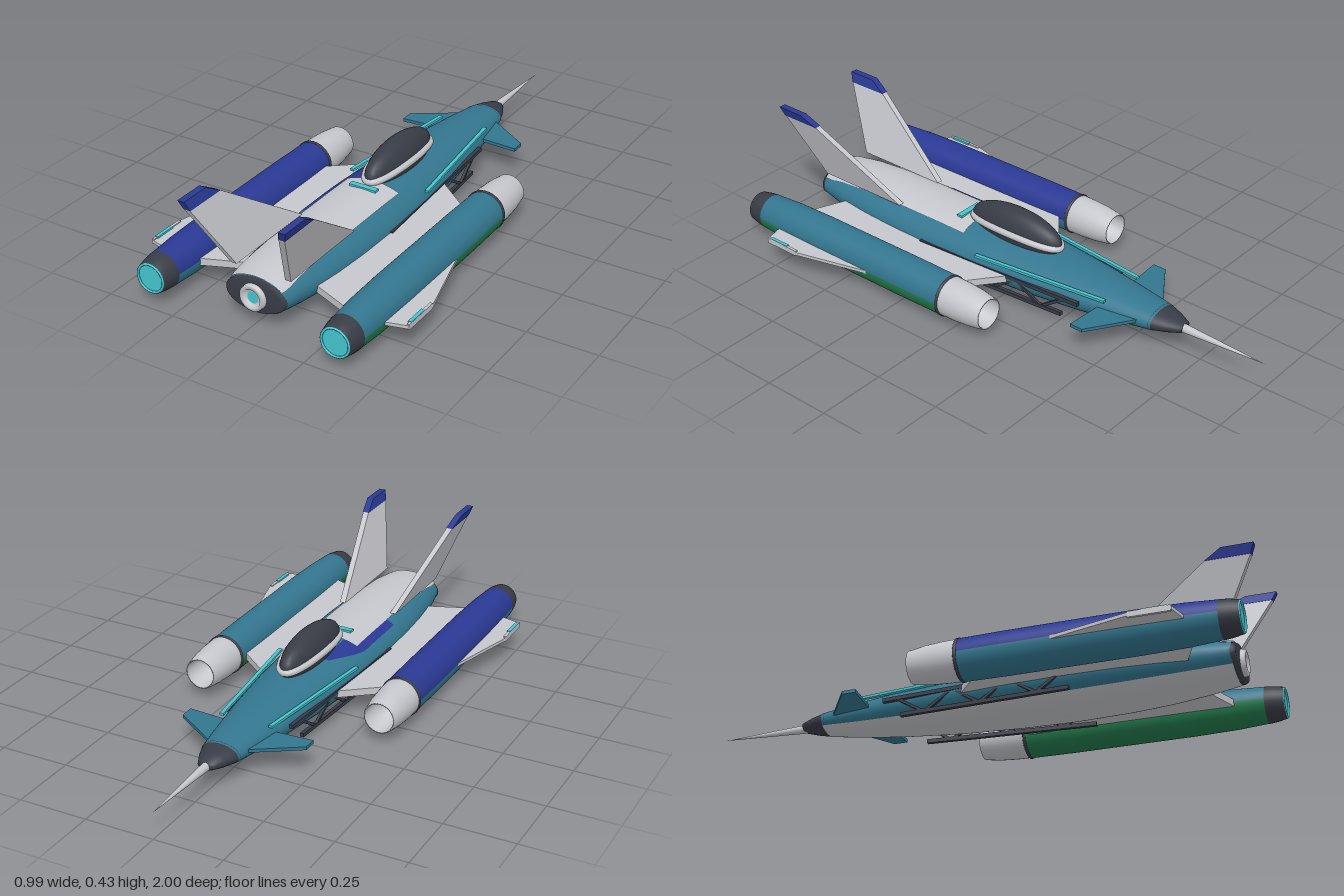
import * as THREE from 'three';

const mat = (name, color, side = THREE.FrontSide) => {
  const m = new THREE.MeshStandardMaterial({ color, side });
  m.name = name;
  return m;
};
const teal = mat('teal paint', 0x33768f, THREE.DoubleSide);
const blue = mat('blue paint', 0x2a3994, THREE.DoubleSide);
const green = mat('green paint', 0x237a4c, THREE.DoubleSide);
const white = mat('pale grey', 0xc6c7cc, THREE.DoubleSide);
const dark = mat('dark grey', 0x383c46, THREE.DoubleSide);
const glow = mat('turquoise', 0x45c5cf);

function add(parent, name, geometry, material, x = 0, y = 0, z = 0) {
  const mesh = new THREE.Mesh(geometry, material);
  mesh.name = name;
  mesh.position.set(x, y, z);
  parent.add(mesh);
  return mesh;
}

// Hull stations: z, half width, top y, bottom y
const stations = [
  [-0.59, 0.069, 0.134, 0.06], [-0.45, 0.093, 0.15, 0.04], [-0.3, 0.116, 0.163, 0.024],
  [-0.1, 0.14, 0.174, 0.01], [0.1, 0.156, 0.18, 0.003], [0.3, 0.163, 0.182, 0],
  [0.5, 0.16, 0.182, 0.004], [0.65, 0.15, 0.18, 0.012], [0.8, 0.13, 0.174, 0.027], [0.885, 0.113, 0.163, 0.04],
];
function hullAt(z) {
  let i = 0;
  while (i < stations.length - 2 && z > stations[i + 1][0]) i++;
  const a = stations[i], b = stations[i + 1], t = (z - a[0]) / (b[0] - a[0]);
  return a.map((v, k) => v + (b[k] - v) * t);
}

// Skin over part of the hull, between two angles that may vary with z
function skin(z0, z1, angles, offset = 0, nz = 30, na = 28) {
  const pos = [], index = [];
  for (let i = 0; i <= nz; i++) {
    const z = z0 + (z1 - z0) * i / nz;
    const [, w, top, bottom] = hullAt(z);
    const [a0, a1] = angles(z, w);
    for (let j = 0; j <= na; j++) {
      const a = a0 + (a1 - a0) * j / na;
      pos.push((w + offset) * Math.cos(a), (top + bottom) / 2 + ((top - bottom) / 2 + offset) * Math.sin(a), z);
      if (i < nz && j < na) {
        const p = i * (na + 1) + j, q = p + na + 1;
        index.push(p, p + 1, q, p + 1, q + 1, q);
      }
    }
  }
  const g = new THREE.BufferGeometry();
  g.setAttribute('position', new THREE.Float32BufferAttribute(pos, 3));
  g.setIndex(index);
  g.computeVertexNormals();
  return g;
}

// Lathe along z from [radius, z] points; phi 0 points down
function turned(points, phi = 0, sweep = Math.PI * 2) {
  const pts = points.map(([r, z]) => new THREE.Vector2(r, z));
  return new THREE.LatheGeometry(pts, 32, phi, sweep).rotateX(Math.PI / 2);
}

const outline = (pts) => new THREE.Shape(pts.map(([x, y]) => new THREE.Vector2(x, y)));

// Flat plate from [x, z] corners, centred on height 0
function plate(pts, side, thick) {
  const shape = outline(pts.map(([x, z]) => [x * side, z]));
  return new THREE.ExtrudeGeometry(shape, { depth: thick, bevelEnabled: false })
    .rotateX(Math.PI / 2).translate(0, thick / 2, 0);
}

// Leaning upright plate from [z, y] corners
function fin(pts, side, thick) {
  const lean = new THREE.Matrix4().set(1, side * 0.31, 0, side * (0.105 - 0.31 * 0.175), 0, 1, 0, 0, 0, 0, 1, 0, 0, 0, 0, 1);
  return new THREE.ExtrudeGeometry(outline(pts), { depth: thick, bevelEnabled: false })
    .rotateY(-Math.PI / 2).translate(thick / 2, 0, 0).applyMatrix4(lean);
}

// Straight bar between two points
function bar(parent, name, a, b, w, h, material) {
  const p = new THREE.Vector3(...a), q = new THREE.Vector3(...b);
  const mesh = add(parent, name, new THREE.BoxGeometry(w, h, p.distanceTo(q)), material);
  mesh.position.copy(p).lerp(q, 0.5);
  mesh.lookAt(q);
}

function engine(side) {
  const g = new THREE.Group();
  g.name = side > 0 ? 'leftEngine' : 'rightEngine';
  g.position.set(side * 0.35, 0.094, 0);
  const body = [[0.072, 0.04], [0.074, 0.2], [0.074, 0.65], [0.071, 0.8], [0.064, 0.915]];
  add(g, 'engineUpperShell', turned(body, Math.PI / 2, Math.PI), side > 0 ? teal : blue);
  add(g, 'engineLowerShell', turned(body, -Math.PI / 2, Math.PI), side > 0 ? green : teal);
  add(g, 'engineIntake', turned([[0, 0.02], [0.048, -0.06], [0.052, -0.13], [0.057, -0.13], [0.066, -0.07], [0.07, -0.01], [0.071, 0.04]]), white);
  add(g, 'engineBand', turned([[0.071, 0.038], [0.0745, 0.04], [0.0745, 0.048], [0.072, 0.05]]), dark);
  add(g, 'engineNozzle', turned([[0.065, 0.91], [0.062, 0.94], [0.055, 0.975], [0.05, 0.975], [0.048, 0.95]]), dark);
  add(g, 'exhaustRing', new THREE.TorusGeometry(0.05, 0.004, 8, 32), glow, 0, 0, 0.975);
  add(g, 'exhaustGlow', new THREE.CircleGeometry(0.049, 32), glow, 0, 0, 0.972);
  return g;
}

export function createModel() {
  const model = new THREE.Group();
  model.name = 'spaceFighter';
  const D = Math.PI / 180;

  // Hull, belly and painted panels
  add(model, 'hull', skin(-0.59, 0.885, () => [-38 * D, 218 * D]), teal);
  add(model, 'belly', skin(-0.59, 0.885, () => [218 * D, 322 * D]), white);
  add(model, 'rearDeck', skin(0.2, 0.887, (z, w) => {
    const a = Math.acos(Math.min(0.1 / w, 0.84));
    return [a, Math.PI - a];
  }, 0.004), white);
  add(model, 'bluePatch', skin(0.04, 0.45, (z, w) => {
    const outer = 0.07 + 0.058 * Math.sin(Math.min((z - 0.04) / 0.2, 1) * Math.PI / 2);
    return [Math.PI - Math.acos(0.05 / w), Math.PI - Math.acos(outer / w)];
  }, 0.002), blue);
  add(model, 'deckLight', new THREE.BoxGeometry(0.105, 0.008, 0.022), glow, 0, 0.187, 0.26);

  // Nose cone and probe
  add(model, 'noseCone', turned([[0, -0.685], [0.03, -0.68], [0.052, -0.635], [0.071, -0.58]]).scale(1, 0.54, 1), dark, 0, 0.097, 0);
  add(model, 'noseProbe', turned([[0, -1], [0.016, -0.67]]), white, 0, 0.094, 0);

  // Tail cap and main nozzle
  add(model, 'tailCap', turned([[0.114, 0.88], [0.114, 0.89], [0.106, 0.9], [0, 0.9]]).scale(1, 0.52, 1), dark, 0, 0.101, 0);
  add(model, 'mainNozzle', turned([[0.048, 0.89], [0.046, 0.915], [0.034, 0.918], [0.028, 0.905], [0.018, 0.905]]), white, 0, 0.101, 0);
  add(model, 'mainGlow', new THREE.CircleGeometry(0.021, 24), glow, 0, 0.101, 0.907);

  // Canopy with a rim that rises at the sides
  add(model, 'canopy', new THREE.SphereGeometry(1, 32, 20).scale(0.06, 0.082, 0.197), dark, 0, 0.2, 0.038);
  const rim = [];
  for (let i = 0; i < 24; i++) {
    const a = i / 24 * Math.PI * 2, c = Math.cos(a);
    rim.push(new THREE.Vector3(0.061 * c, 0.192 + 0.016 * c * c, 0.038 + 0.193 * Math.sin(a)));
  }
  add(model, 'canopyRim', new THREE.TubeGeometry(new THREE.CatmullRomCurve3(rim, true), 64, 0.0125, 8, true), white);

  for (const s of [1, -1]) {
    model.add(engine(s));

    // Wings, tip fins and canards
    add(model, 'wing', plate([[0.1, -0.07], [0.3, 0.09], [0.3, 0.815], [0.1, 0.735]], s, 0.026), white, 0, 0.09, 0);
    add(model, 'outerWing', plate([[0.4, 0.28], [0.424, 0.37], [0.495, 0.64], [0.495, 0.785], [0.4, 0.81]], s, 0.012), white, 0, 0.09, 0);
    add(model, 'wingTip', new THREE.BoxGeometry(0.01, 0.02, 0.14), white, s * 0.49, 0.09, 0.713);
    add(model, 'wingTipLight', new THREE.BoxGeometry(0.013, 0.008, 0.08), glow, s * 0.488, 0.098, 0.73);
    add(model, 'canard', plate([[0.06, -0.55], [0.09, -0.53], [0.235, -0.435], [0.235, -0.385], [0.08, -0.395]], s, 0.012), teal, 0, 0.1, 0);

    // Tail fins with blue tips
    add(model, 'tailFin', fin([[0.495, 0.17], [0.86, 0.17], [0.985, 0.4], [0.83, 0.4]], s, 0.022), white);
    add(model, 'tailFinTip', fin([[0.83, 0.4], [0.985, 0.4], [1, 0.435], [0.89, 0.435]], s, 0.025), blue);

    // Side light strips
    bar(model, 'sideStrip', [s * 0.093, 0.136, -0.42], [s * 0.152, 0.136, 0.1], 0.014, 0.009, glow);

    // Lattice trusses under the flanks
    const truss = new THREE.Group();
    truss.name = 'truss';
    model.add(truss);
    const at = (t, y) => [s * (0.122 + 0.04 * t), y, -0.33 + 0.68 * t];
    bar(truss, 'upperRail', at(0, 0.1), at(1, 0.1), 0.014, 0.014, dark);
    bar(truss, 'lowerRail', at(0.1, 0.036), at(1, 0.03), 0.014, 0.014, dark);
    for (let i = 0; i < 6; i++) {
      const y = i % 2 ? [0.033, 0.1] : [0.1, 0.033];
      bar(truss, 'brace', at(0.08 + i * 0.15, y[0]), at(0.08 + (i + 1) * 0.15, y[1]), 0.01, 0.01, dark);
    }
  }
  return model;
}
